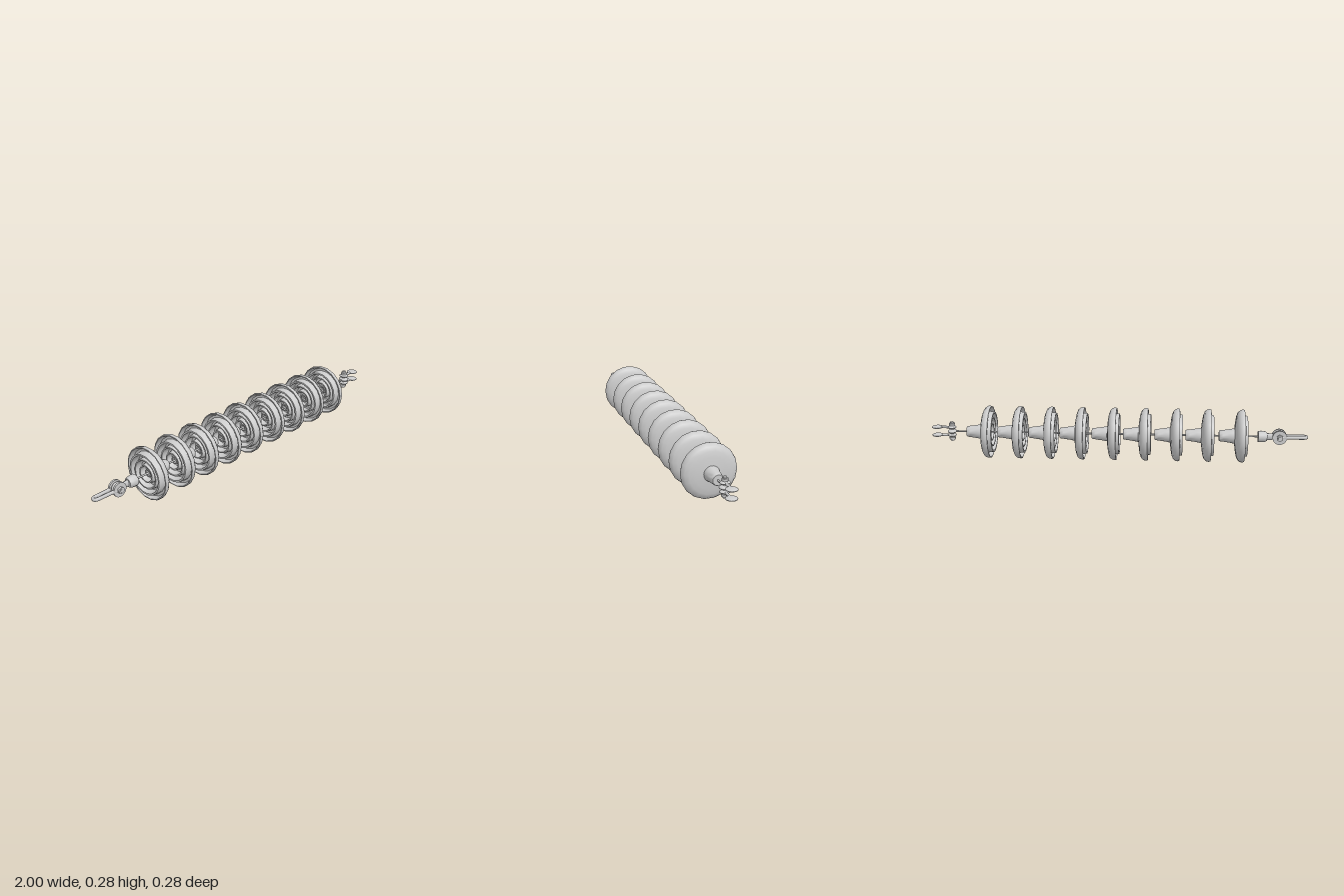
import * as THREE from 'three';
import { toCreasedNormals } from 'three/addons/utils/BufferGeometryUtils.js';

const AXIS_Y = 0.139;
const material = new THREE.MeshStandardMaterial({ color: 0xcccccc, side: THREE.DoubleSide });

function add(parent, name, geometry, x = 0, y = 0, z = 0) {
  const mesh = new THREE.Mesh(geometry, material);
  mesh.name = name;
  mesh.position.set(x, y, z);
  parent.add(mesh);
  return mesh;
}

// Solid of revolution about x from [radius, x] points
function turned(points, sides = 18) {
  const g = new THREE.LatheGeometry(points.map(([r, x]) => new THREE.Vector2(r, x)), sides);
  g.rotateZ(-Math.PI / 2);
  return toCreasedNormals(g, 0.75);
}

// Round rod along x between two positions
function rod(parent, name, x0, x1, r) {
  const g = new THREE.CylinderGeometry(r, r, x1 - x0, 8).rotateZ(Math.PI / 2);
  return add(parent, name, g, (x0 + x1) / 2);
}

// Bolt along y with a nut and washer at each end
function bolt(name, half, r, nutAt) {
  const group = new THREE.Group();
  group.name = name;
  add(group, 'boltShank', new THREE.CylinderGeometry(r, r, half * 2, 10));
  for (const s of [-1, 1]) {
    add(group, 'boltNut', new THREE.CylinderGeometry(r * 1.8, r * 1.8, 0.012, 6), 0, s * nutAt, 0);
  }
  return group;
}

export function createModel() {
  const root = new THREE.Group();
  root.name = 'insulatorString';
  const line = new THREE.Group();
  line.name = 'stringAxis';
  line.position.y = AXIS_Y;
  root.add(line);

  // Glass sheds: domed on the +x side, ribbed underneath on the -x side
  const shed = turned([
    [0.005, 0.04], [0.014, 0.025], [0.02, 0.025], [0.026, 0.042],
    [0.036, 0.042], [0.04, 0.01], [0.047, 0.01], [0.052, 0.042],
    [0.066, 0.042], [0.071, 0.006], [0.078, 0.006], [0.083, 0.042],
    [0.094, 0.04], [0.099, 0.0], [0.108, 0.0], [0.112, 0.036],
    [0.124, 0.036], [0.134, 0.014], [0.139, 0.015], [0.141, 0.024],
    [0.138, 0.036], [0.128, 0.048], [0.108, 0.056], [0.08, 0.061],
    [0.055, 0.064], [0.036, 0.066],
  ]);
  // Metal cap behind each shed
  const cap = turned([
    [0.04, 0.06], [0.04, 0.07], [0.036, 0.09], [0.031, 0.125],
    [0.029, 0.143], [0.026, 0.147], [0.003, 0.147],
  ]);
  const starts = [-0.68, -0.505, -0.341, -0.174, -0.008, 0.163, 0.329, 0.496, 0.662];
  starts.forEach((x, i) => {
    const unit = new THREE.Group();
    unit.name = `insulator${i + 1}`;
    unit.position.x = x;
    add(unit, 'shed', shed);
    add(unit, 'cap', cap);
    rod(unit, 'pin', i ? -0.04 : -0.07, 0.045, 0.005);
    line.add(unit);
  });

  // Socket and eye at the -x end
  const leftEnd = new THREE.Group();
  leftEnd.name = 'shackleEnd';
  line.add(leftEnd);
  add(leftEnd, 'socket', turned([
    [0.002, -0.785], [0.022, -0.785], [0.028, -0.775], [0.031, -0.755], [0.03, -0.738], [0.002, -0.738],
  ], 12));
  const neck = new THREE.CylinderGeometry(0.016, 0.02, 0.05, 10).rotateZ(Math.PI / 2).scale(1, 1, 0.5);
  add(leftEnd, 'eyeNeck', neck, -0.8);
  add(leftEnd, 'eye', new THREE.TorusGeometry(0.024, 0.01, 8, 18), -0.85);

  // U-shaped shackle lying in the xz plane
  const bend = [[-0.85, 0.018], [-0.92, 0.014], [-0.975, 0.013]];
  const arc = [1, 2, 3].map(i => {
    const a = (i * Math.PI) / 4;
    return [-0.979 - 0.013 * Math.sin(a), 0.013 * Math.cos(a)];
  });
  const path = [...bend, ...arc, ...bend.slice().reverse().map(([x, z]) => [x, -z])]
    .map(([x, z]) => new THREE.Vector3(x, 0, z));
  add(leftEnd, 'shackleBow', new THREE.TubeGeometry(new THREE.CatmullRomCurve3(path), 40, 0.008, 8).scale(1, 1.25, 1));
  for (const s of [-1, 1]) {
    const lug = new THREE.CylinderGeometry(0.038, 0.038, 0.01, 18).rotateX(Math.PI / 2);
    add(leftEnd, 'shackleLug', toCreasedNormals(lug, 0.75), -0.85, 0, s * 0.018);
  }
  const leftBolt = bolt('shackleBolt', 0.037, 0.01, 0.028);
  leftBolt.rotation.x = Math.PI / 2;
  leftBolt.position.x = -0.85;
  leftEnd.add(leftBolt);

  // Clevis at the +x end: tongue, two prongs and an upright bolt
  const rightEnd = new THREE.Group();
  rightEnd.name = 'clevisEnd';
  line.add(rightEnd);
  rod(rightEnd, 'clevisStem', 0.8, 0.88, 0.005);
  add(rightEnd, 'tongueEye', new THREE.SphereGeometry(1, 16, 10).scale(0.024, 0.011, 0.029), 0.89);
  for (const s of [-1, 1]) {
    const prong = new THREE.Group();
    prong.name = s > 0 ? 'upperProng' : 'lowerProng';
    prong.position.y = s * 0.022;
    add(prong, 'prongEye', new THREE.SphereGeometry(1, 16, 10).scale(0.022, 0.009, 0.026), 0.89);
    rod(prong, 'prongArm', 0.885, 0.96, 0.007);
    add(prong, 'prongHead', new THREE.SphereGeometry(1, 16, 10).scale(0.03, 0.008, 0.03), 0.97);
    rightEnd.add(prong);
  }
  const rightBolt = bolt('clevisBolt', 0.052, 0.0095, 0.038);
  rightBolt.position.x = 0.89;
  rightEnd.add(rightBolt);

  return root;
}
